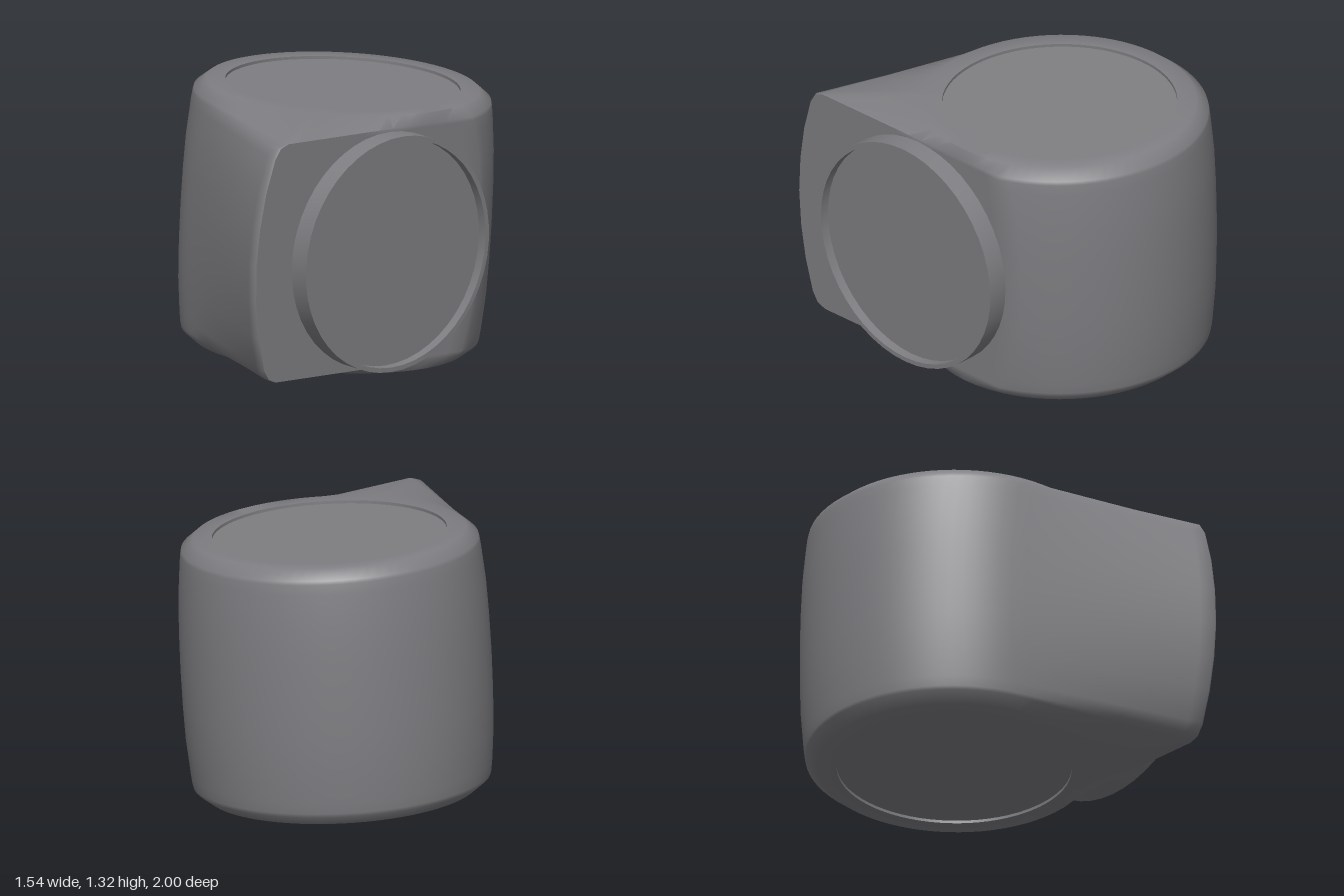
import * as THREE from 'three';
import { toCreasedNormals } from 'three/addons/utils/BufferGeometryUtils.js';

const FACE_ANGLE = 0.979;   // heading of the flat side face, from +z towards +x
const FACE_DIST = 0.665;    // distance of that face from the barrel axis
const CAP_R = 0.645, PLATE_R = 0.555, HALF_H = 0.625, RECESS = 0.014;
const material = new THREE.MeshStandardMaterial({ color: 0x7e7d81 });

const polar = (r, a) => new THREE.Vector2(r * Math.sin(a), r * Math.cos(a));

// Teardrop outline: flat face, arc round the back, left tangent, nose
function teardrop(r, noseZ) {
  const n = polar(1, FACE_ANGLE);
  const nose = new THREE.Vector2((FACE_DIST - n.y * noseZ) / n.x, noseZ);
  const start = FACE_ANGLE + Math.acos(FACE_DIST / r);
  const end = 2 * Math.PI + Math.atan2(nose.x, nose.y) - Math.acos(r / nose.length());
  const pts = [];
  for (let i = 0; i < 14; i++) pts.push(nose.clone().lerp(polar(r, start), 0.01 + 0.99 * i / 14));
  for (let i = 0; i < 48; i++) pts.push(polar(r, start + (end - start) * i / 48));
  for (let i = 0; i <= 14; i++) pts.push(polar(r, end).lerp(nose, 0.985 * i / 14));
  return pts;
}

function bodyGeometry() {
  // half-height, barrel radius, nose reach
  const half = [
    [0.578, 0.703, 1.14], [0.56, 0.707, 1.18], [0.51, 0.713, 1.207],
    [0.35, 0.727, 1.245], [0.18, 0.733, 1.268],
  ];
  const levels = [
    ...half.map(([y, r, z]) => [-y, r, z]),
    [0, 0.735, 1.277],
    ...half.slice().reverse(),
  ];
  const rings = levels.map(([y, r, z]) => ({ y, pts: teardrop(r, z) }));
  // round rims closing both ends, each with a shallow recess
  const edge = rings[0].pts;
  const circle = (y, r) => ({ y, pts: edge.map(p => polar(r, Math.atan2(p.x, p.y))) });
  const rim = [[HALF_H, CAP_R], [HALF_H, PLATE_R], [HALF_H - RECESS, PLATE_R]];
  rim.forEach(([y, r]) => {
    rings.push(circle(y, r));
    rings.unshift(circle(-y, r));
  });

  const pos = [], index = [], count = edge.length;
  rings.forEach(({ y, pts }) => pts.forEach(p => pos.push(p.x, y, p.y)));
  for (let k = 0; k < rings.length - 1; k++) {
    for (let i = 0; i < count; i++) {
      const a = k * count + i, b = k * count + (i + 1) % count;
      index.push(a, b, b + count, a, b + count, a + count);
    }
  }
  const g = new THREE.BufferGeometry();
  g.setAttribute('position', new THREE.Float32BufferAttribute(pos, 3));
  g.setIndex(index);
  return toCreasedNormals(g, 0.95);
}

export function createModel() {
  const model = new THREE.Group();
  const barrel = new THREE.Group();
  barrel.name = 'tiltedHousing';
  const add = (name, geometry, parent = barrel) => {
    const mesh = new THREE.Mesh(geometry, material);
    mesh.name = name;
    parent.add(mesh);
    return mesh;
  };

  add('body', bodyGeometry());

  // recessed end plates
  for (const s of [1, -1]) {
    const plate = add(s > 0 ? 'topPlate' : 'bottomPlate', new THREE.CircleGeometry(PLATE_R + 0.003, 64));
    plate.rotation.x = -s * Math.PI / 2;
    plate.position.y = s * (HALF_H - RECESS);
  }

  // round port on the flat face: raised collar and sunken disc
  const port = new THREE.Group();
  port.name = 'sidePort';
  const profile = [[0.572, 0], [0.572, 0.112], [0.55, 0.112], [0.55, 0.065]].map(p => new THREE.Vector2(...p));
  const collar = toCreasedNormals(new THREE.LatheGeometry(profile, 48), 0.6);
  add('portCollar', collar.rotateX(Math.PI / 2), port);
  add('portDisc', new THREE.CircleGeometry(0.553, 48), port).position.z = 0.065;
  const base = polar(FACE_DIST - 0.01, FACE_ANGLE).add(polar(0.283, FACE_ANGLE - Math.PI / 2));
  port.position.set(base.x, -0.007, base.y);
  port.rotation.y = FACE_ANGLE;
  barrel.add(port);

  barrel.rotation.z = -0.054;
  barrel.position.set(-0.03, 0.66, -0.266);
  model.add(barrel);
  return model;
}
